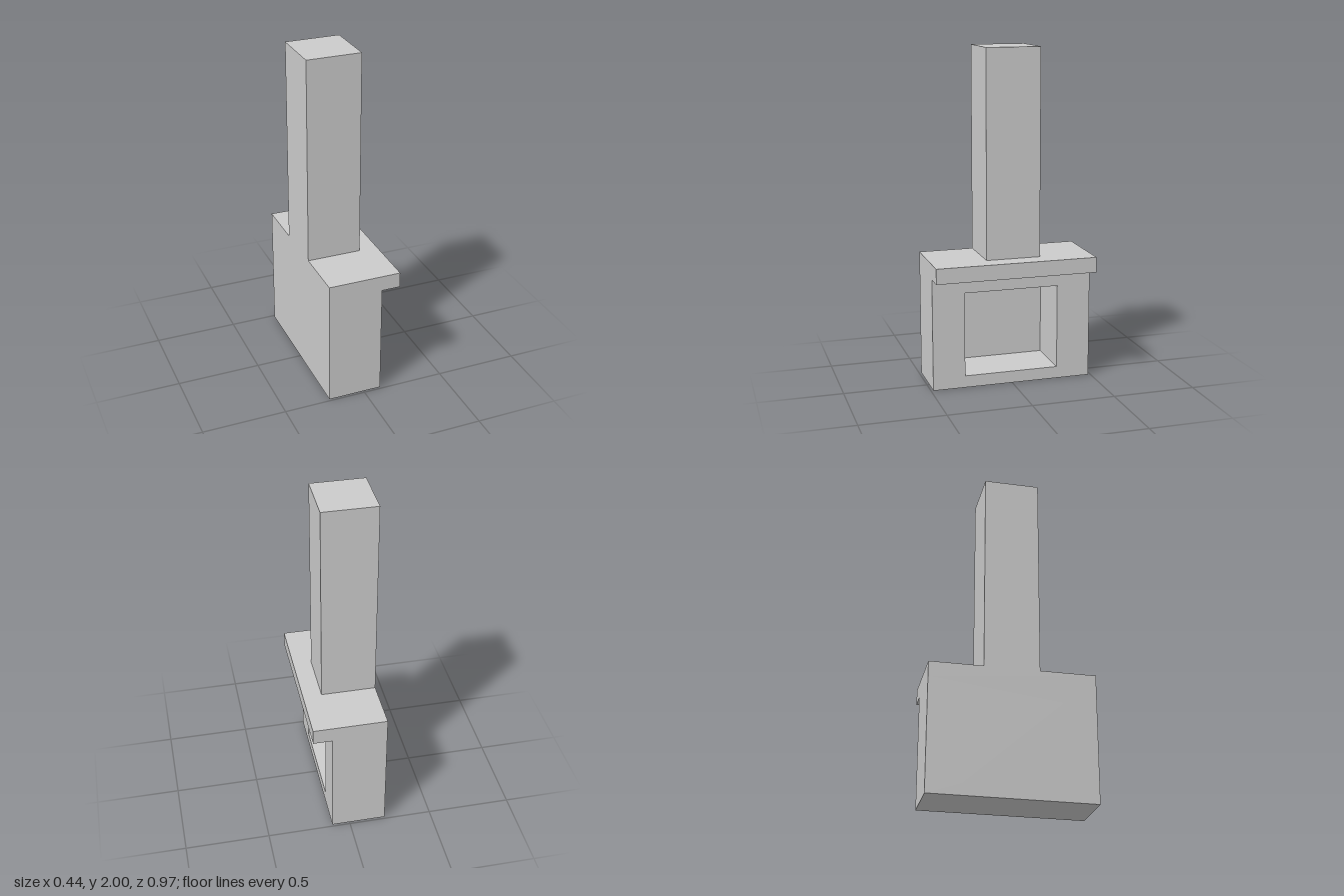
import * as THREE from 'three';

const material = new THREE.MeshStandardMaterial({ color: 0xcccccc, flatShading: true });

// Box given by its [min, max] extent on each axis
function block(name, [x0, x1], [y0, y1], [z0, z1]) {
  const mesh = new THREE.Mesh(new THREE.BoxGeometry(x1 - x0, y1 - y0, z1 - z0), material);
  mesh.position.set((x0 + x1) / 2, (y0 + y1) / 2, (z0 + z1) / 2);
  mesh.name = name;
  return mesh;
}

// Adds a rectangle to a shape or path
function rectangle(path, u0, u1, v0, v1) {
  path.moveTo(u0, v0).lineTo(u1, v0).lineTo(u1, v1).lineTo(u0, v1).closePath();
  return path;
}

export function createModel() {
  const group = new THREE.Group();
  group.name = 'fireplace';

  const back = -0.219, face = 0.107, shelfEdge = 0.219;
  const halfWidth = 0.486, shelfBottom = 0.675, shelfTop = 0.767;
  const firebox = { z0: -0.281, z1: 0.291, y0: 0.072, y1: 0.58, back: -0.208 };

  // Surround: wall with a firebox opening, extruded towards +x (shape u = -z)
  const outline = rectangle(new THREE.Shape(), -halfWidth, halfWidth, 0, shelfBottom);
  outline.holes.push(rectangle(new THREE.Path(), -firebox.z1, -firebox.z0, firebox.y0, firebox.y1));
  const surroundGeometry = new THREE.ExtrudeGeometry(outline, { depth: face - back, bevelEnabled: false });
  surroundGeometry.rotateY(Math.PI / 2).translate(back, 0, 0);
  const surround = new THREE.Mesh(surroundGeometry, material);
  surround.name = 'surround';
  group.add(surround);

  // Thin panel closing the back of the firebox
  group.add(block('fireboxBack', [back, firebox.back], [firebox.y0, firebox.y1], [firebox.z0, firebox.z1]));

  // Mantel shelf overhanging the opening, and the chimney flush with the back
  group.add(block('mantelShelf', [back, shelfEdge], [shelfBottom, shelfTop], [-halfWidth, halfWidth]));
  group.add(block('chimney', [back, face], [shelfTop, 2], [-0.17, 0.157]));

  return group;
}
